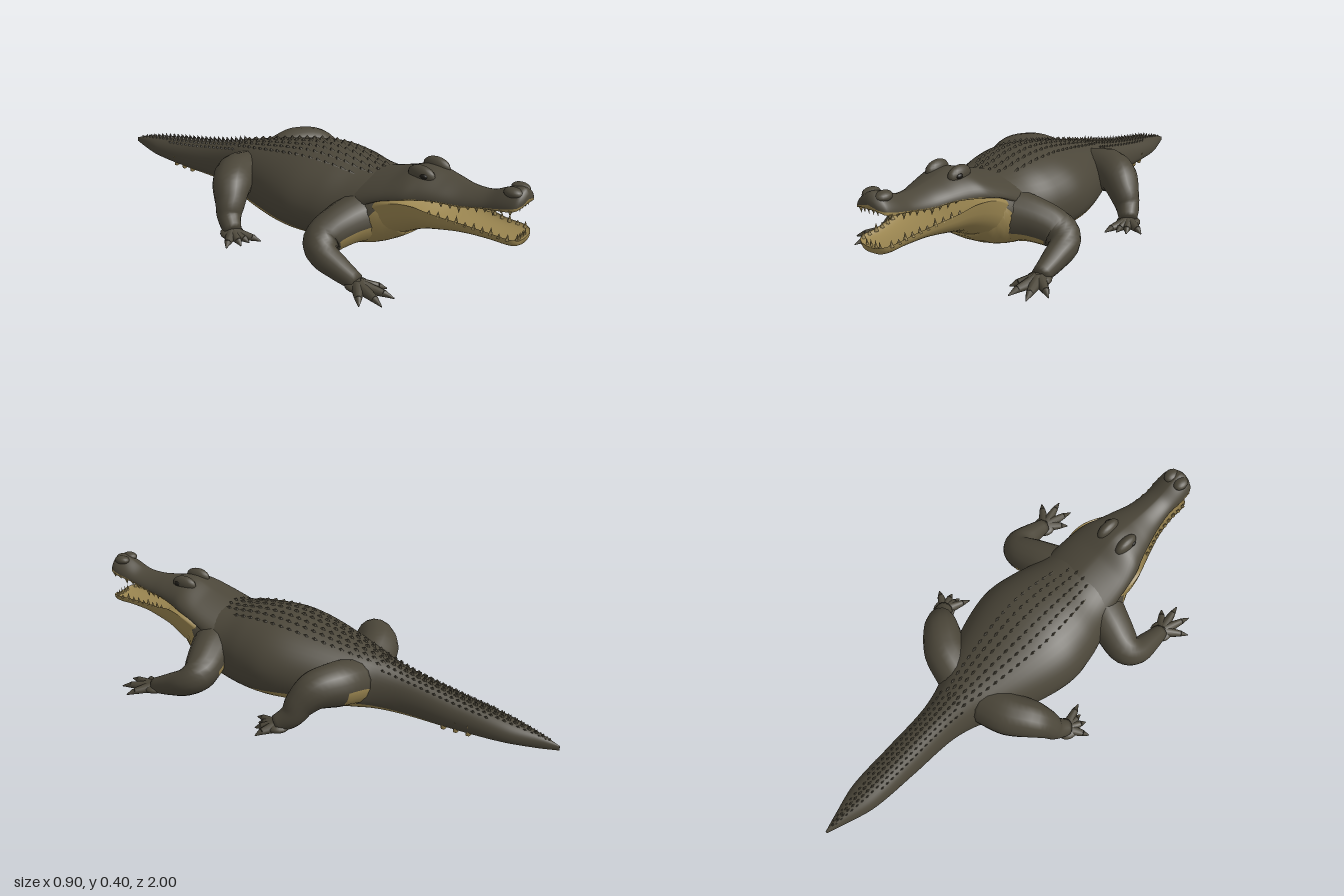
import * as THREE from 'three';
import { mergeGeometries } from 'three/addons/utils/BufferGeometryUtils.js';

const mat = (name, color) => Object.assign(new THREE.MeshStandardMaterial({ color }), { name });
const V = (x, y, z) => new THREE.Vector3(x, y, z);

// Sections: z, half width, top, widest height, bottom, angle where belly colour ends
const BODY = [
  [-1, .003, .025, .015, .006, -35], [-.93, .026, .05, .02, 0, -30], [-.8, .063, .083, .03, 0, -28],
  [-.6, .075, .125, .045, 0, -28], [-.4, .084, .175, .07, .004, -26], [-.29, .112, .21, .08, .008, -20],
  [-.2, .16, .235, .095, .006, -16], [0, .232, .285, .12, 0, -15], [.13, .255, .308, .125, 0, -20],
  [.25, .238, .309, .125, .003, -28], [.35, .21, .296, .13, .012, -20], [.45, .192, .294, .15, .03, 0],
  [.52, .165, .29, .19, .06, 30], [.58, .13, .28, .22, .1, 80]];
// The palate arches above the lip, so here the "bottom" rises over the widest height
const HEAD = [
  [.38, .18, .29, .19, .16, -20], [.5, .163, .327, .25, .24, -20], [.58, .148, .361, .274, .27, 0],
  [.63, .128, .365, .28, .288, 4], [.7, .104, .353, .287, .306, 6], [.78, .08, .345, .286, .312, 8],
  [.86, .067, .352, .302, .322, 8], [.93, .07, .386, .318, .335, 8], [.97, .067, .398, .327, .338, 10],
  [.99, .058, .394, .335, .341, 10], [1, .04, .38, .345, .346, 10]];
// The mouth floor is dished below the rim, so the "top" falls under the widest height
const JAW = [
  [.42, .155, .24, .17, .05, 0], [.52, .168, .272, .24, .075, 0], [.58, .162, .275, .265, .11, 0],
  [.64, .142, .248, .266, .142, 0], [.7, .119, .222, .25, .16, 0], [.8, .086, .208, .235, .178, 0],
  [.9, .069, .205, .228, .185, 0], [.96, .068, .208, .228, .187, 0], [.99, .056, .212, .225, .19, 0],
  [1, .038, .216, .22, .197, 0]];

// Smooth interpolation of a section table at z
function sectionAt(table, z) {
  let i = 0;
  while (i < table.length - 2 && z > table[i + 1][0]) i++;
  const slope = (k, c) => {
    const a = table[Math.max(k - 1, 0)], b = table[Math.min(k + 1, table.length - 1)];
    return (b[c] - a[c]) / (b[0] - a[0]);
  };
  const a = table[i], b = table[i + 1], d = b[0] - a[0], t = (z - a[0]) / d, t2 = t * t, t3 = t2 * t;
  return a.map((_, c) => (2 * t3 - 3 * t2 + 1) * a[c] + (t3 - 2 * t2 + t) * d * slope(i, c)
    + (3 * t2 - 2 * t3) * b[c] + (t3 - t2) * d * slope(i + 1, c));
}

// Skin over closed rings, with closed ends; pick(i, j) gives the material index
function skin(rings, pick) {
  const mid = r => r.reduce((s, p) => s.add(p), V(0, 0, 0)).divideScalar(r.length);
  const close = r => { const m = mid(r); return r.map(() => m); };
  const all = [close(rings[0]), ...rings, close(rings[rings.length - 1])];
  const n = rings[0].length, lists = [[], []];
  for (let i = 0; i < all.length - 1; i++) for (let j = 0; j < n; j++) {
    const a = i * n + j, b = i * n + (j + 1) % n, c = b + n, d = a + n;
    lists[pick(i, j)].push(a, b, c, a, c, d);
  }
  const g = new THREE.BufferGeometry().setFromPoints(all.flat());
  g.setIndex([...lists[0], ...lists[1]]);
  g.addGroup(0, lists[0].length, 0);
  g.addGroup(lists[0].length, lists[1].length, 1);
  g.computeVertexNormals();
  return g;
}

const pw = (v, e) => Math.sign(v) * Math.abs(v) ** e;
const BODY_EX = 0.95, LOW = 8, HIGH = 14;

// Loft a section table along z, the lower arc coloured with the second material;
// a larger exponent makes the upper arc more roof-shaped
function loft(table, steps, exponent) {
  const rings = [], z0 = table[0][0], z1 = table[table.length - 1][0];
  for (let i = 0; i <= steps; i++) {
    const [z, w, top, my, bot, split] = sectionAt(table, z0 + (z1 - z0) * i / steps);
    const s = split * Math.PI / 180, q = Math.PI / 2, angles = [];
    for (let k = 0; k < LOW; k++) angles.push(-q + (s + q) * k / LOW);
    for (let k = 0; k < HIGH; k++) angles.push(s + (q - s) * k / HIGH);
    const half = [...angles, q];
    const full = [...half, ...angles.slice(1).reverse().map(a => Math.PI - a)];
    rings.push(full.map(a => {
      const sn = Math.sin(a);
      return V(w * pw(Math.cos(a), sn > 0 ? exponent : .85),
        my + (sn > 0 ? (top - my) * sn : (my - bot) * pw(sn, .75)), z);
    }));
  }
  const n = rings[0].length;
  return skin(rings, (i, j) => (j < LOW || j >= n - LOW ? 1 : 0));
}

// Tapered limb along a path; the underside near the body is pale
function limb(points, radii, pale) {
  const curve = new THREE.CatmullRomCurve3(points), N = 24, M = 16, rings = [];
  for (let i = 0; i <= N; i++) {
    const t = i / N, f = t * (radii.length - 1), k = Math.min(Math.floor(f), radii.length - 2);
    const r = THREE.MathUtils.lerp(radii[k], radii[k + 1], f - k);
    const p = curve.getPoint(t), T = curve.getTangent(t);
    const u = V(0, 1, 0).cross(T).normalize(), v = T.clone().cross(u);
    rings.push(Array.from({ length: M }, (_, j) => {
      const a = (j / M) * Math.PI * 2;
      const q = p.clone().addScaledVector(u, r * Math.cos(a)).addScaledVector(v, r * Math.sin(a));
      q.y = Math.max(q.y, .003);
      return q;
    }));
  }
  return skin(rings, (i, j) => (i < N * pale && j >= M * .54 && j < M * .96 ? 1 : 0));
}

// Tapered rod from base to tip
function rod(base, tip, r0, r1 = 0, sides = 6) {
  const d = tip.clone().sub(base), g = new THREE.CylinderGeometry(r1, r0, d.length(), sides);
  g.applyQuaternion(new THREE.Quaternion().setFromUnitVectors(V(0, 1, 0), d.clone().normalize()));
  const m = base.clone().lerp(tip, .5);
  return g.translate(m.x, m.y, m.z);
}
const ball = (x, y, z, sx, sy, sz) =>
  new THREE.SphereGeometry(1, 18, 12).scale(sx, sy, sz).translate(x, y, z);

export function createModel() {
  const hide = mat('dark hide', 0x4b4639), belly = mat('pale belly', 0x9a8550);
  const ivory = mat('teeth', 0x9c8856), eyeMat = mat('eye', 0x1c1a15);
  const root = new THREE.Group();
  root.name = 'crocodile';
  const add = (name, geo, m) => {
    const mesh = new THREE.Mesh(geo, m);
    mesh.name = name;
    root.add(mesh);
  };

  add('body', loft(BODY, 90, BODY_EX), [hide, belly]);
  add('upperHead', loft(HEAD, 60, 1.35), [hide, belly]);
  add('lowerJaw', loft(JAW, 50, .85), [belly, belly]);

  // Rows of low keeled scales along the back and tail
  const scutes = [];
  for (const s of [-1, 1]) for (const [row, fx] of [.09, .25, .41].entries()) {
    for (let z = -.96 + row * .012; z < .42; z += z < -.3 ? .026 : .036) {
      const [, w, top, my] = sectionAt(BODY, z), tail = z < -.3;
      if (row === 2 && (z > .33 || z < -.75)) continue;
      const x = w * fx * (tail ? 1.4 : 1), c = (x / w) ** (1 / BODY_EX);
      const y = my + (top - my) * Math.sqrt(1 - c * c);
      const h = (tail && row === 0 ? .019 : .011) * Math.min(1, (z + 1.1) * 3);
      const g = new THREE.ConeGeometry(1, 1, 4).scale(tail ? .007 : .01, h + .008, tail ? .016 : .023);
      scutes.push(g.rotateX(-.25).rotateZ(-s * c * .7).translate(s * x, y + h / 2 - .005, z));
    }
  }
  add('backScutes', mergeGeometries(scutes), hide);

  // Teeth along both jaws
  const teeth = [];
  for (const s of [-1, 1]) for (let k = 0; k < 10; k++) {
    const z = .69 + k * .031, long = [.7, 1.3, 1, 1.7][k % 4];
    const [, uw, , uy] = sectionAt(HEAD, z), [, lw, , ly] = sectionAt(JAW, z);
    teeth.push(rod(V(s * uw * .93, uy + .006, z), V(s * uw * .9, uy - .013 * long, z), .008));
    teeth.push(rod(V(s * lw * .93, ly - .008, z), V(s * lw * .92, ly + .013 * long, z), .008));
  }
  for (const x of [-.028, -.01, .01, .028]) {
    teeth.push(rod(V(x, .35, .988), V(x, .322, .986), .006));
    teeth.push(rod(V(x, .21, .986), V(x, .238, .988), .006));
  }
  add('teeth', mergeGeometries(teeth), ivory);

  for (const s of [-1, 1]) {
    const side = s > 0 ? 'left' : 'right';
    const P = (x, y, z) => V(s * x, y, z);

    // Brow, eye and nostril
    add(side + 'Brow', ball(s * .049, .349, .61, .026, .034, .055), hide);
    add(side + 'Eye', ball(s * .067, .353, .63, .01, .01, .016), eyeMat);
    add(side + 'NostrilBump', ball(s * .026, .381, .955, .026, .018, .034), hide);

    // Pale flecks low on the tail
    add(side + 'TailFlecks', mergeGeometries([-.57, -.62, -.67].map(z =>
      rod(P(.054, .006, z), P(.075, .052, z), .012))), belly);

    // Front leg
    add(side + 'FrontLeg', limb(
      [P(.1, .15, .42), P(.21, .14, .39), P(.31, .107, .372), P(.345, .083, .405), P(.35, .054, .48), P(.348, .026, .56)],
      [.1, .082, .068, .056, .045, .032], .36), [hide, belly]);
    // Hind leg
    add(side + 'HindLeg', limb(
      [P(.08, .12, -.2), P(.18, .147, -.175), P(.26, .145, -.125), P(.305, .105, -.09), P(.335, .06, -.068), P(.365, .026, -.02)],
      [.09, .088, .076, .06, .047, .034], .25), [hide, belly]);

    // Feet: a flat palm with thick clawed toes
    const foot = (name, [cx, cz], tips) => {
      const parts = [ball(s * cx, .018, cz, .046, .02, .046)];
      for (const [x, z] of tips) {
        const at = (t, y) => P(cx + (x - cx) * t, y, cz + (z - cz) * t);
        parts.push(rod(at(.1, .018), at(.72, .014), .025, .013, 10));
        parts.push(rod(at(.72, .014), at(1, .005), .013, .002, 10));
      }
      const g = mergeGeometries(parts), p = g.attributes.position;
      for (let i = 0; i < p.count; i++) p.setY(i, Math.max(p.getY(i), .002));
      add(side + name, g, hide);
    };
    foot('FrontFoot', [.348, .565], [[.282, .645], [.318, .702], [.388, .7], [.437, .64]]);
    foot('HindFoot', [.365, -.025], [[.325, .088], [.362, .062], [.4, .055], [.448, .025]]);
  }
  return root;
}
